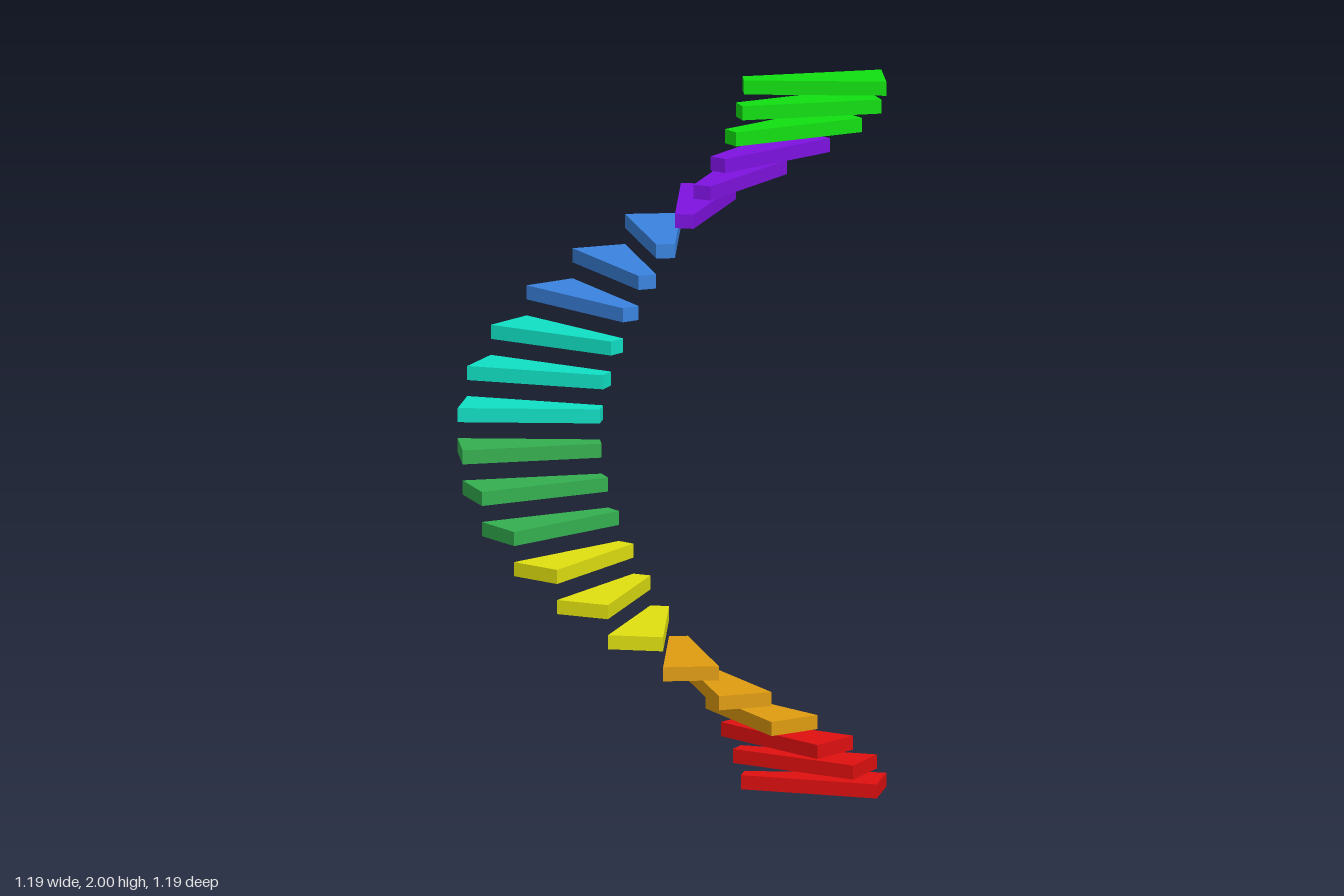
import * as THREE from 'three';

const STEPS = 24;
const PER_COLOUR = 3;
const INNER = 0.2;
const OUTER = 0.594;
const THICKNESS = 0.04;
const SWEEP = (Math.PI * 2) / STEPS;
const START = THREE.MathUtils.degToRad(-26.4);

const COLOURS = [
  ['red', 0xe01010],
  ['orange', 0xe09c10],
  ['yellow', 0xe0e010],
  ['forest green', 0x34b050],
  ['turquoise', 0x10e0c4],
  ['blue', 0x3a84e0],
  ['purple', 0x7e12e0],
  ['bright green', 0x10e010],
];

// One straight-edged wedge tread, lying flat with its underside at y = 0
function treadGeometry() {
  const corner = (r, a) => new THREE.Vector2(r * Math.cos(a), r * Math.sin(a));
  const outline = new THREE.Shape([
    corner(INNER, 0),
    corner(OUTER, 0),
    corner(OUTER, SWEEP),
    corner(INNER, SWEEP),
  ]);
  const geometry = new THREE.ExtrudeGeometry(outline, { depth: THICKNESS, bevelEnabled: false });
  geometry.rotateX(Math.PI / 2);
  geometry.translate(0, THICKNESS, 0);
  return geometry;
}

export function createModel() {
  const group = new THREE.Group();
  group.name = 'spiralStaircase';

  const materials = COLOURS.map(([name, color]) => {
    const material = new THREE.MeshStandardMaterial({ color });
    material.name = name;
    return material;
  });

  // Treads climb evenly through one full turn, changing colour every three
  const geometry = treadGeometry();
  const rise = (2 - THICKNESS) / (STEPS - 1);
  for (let i = 0; i < STEPS; i++) {
    const tread = new THREE.Mesh(geometry, materials[Math.floor(i / PER_COLOUR)]);
    tread.name = `tread${i + 1}`;
    tread.position.y = i * rise;
    tread.rotation.y = -(START + i * SWEEP);
    group.add(tread);
  }
  return group;
}
